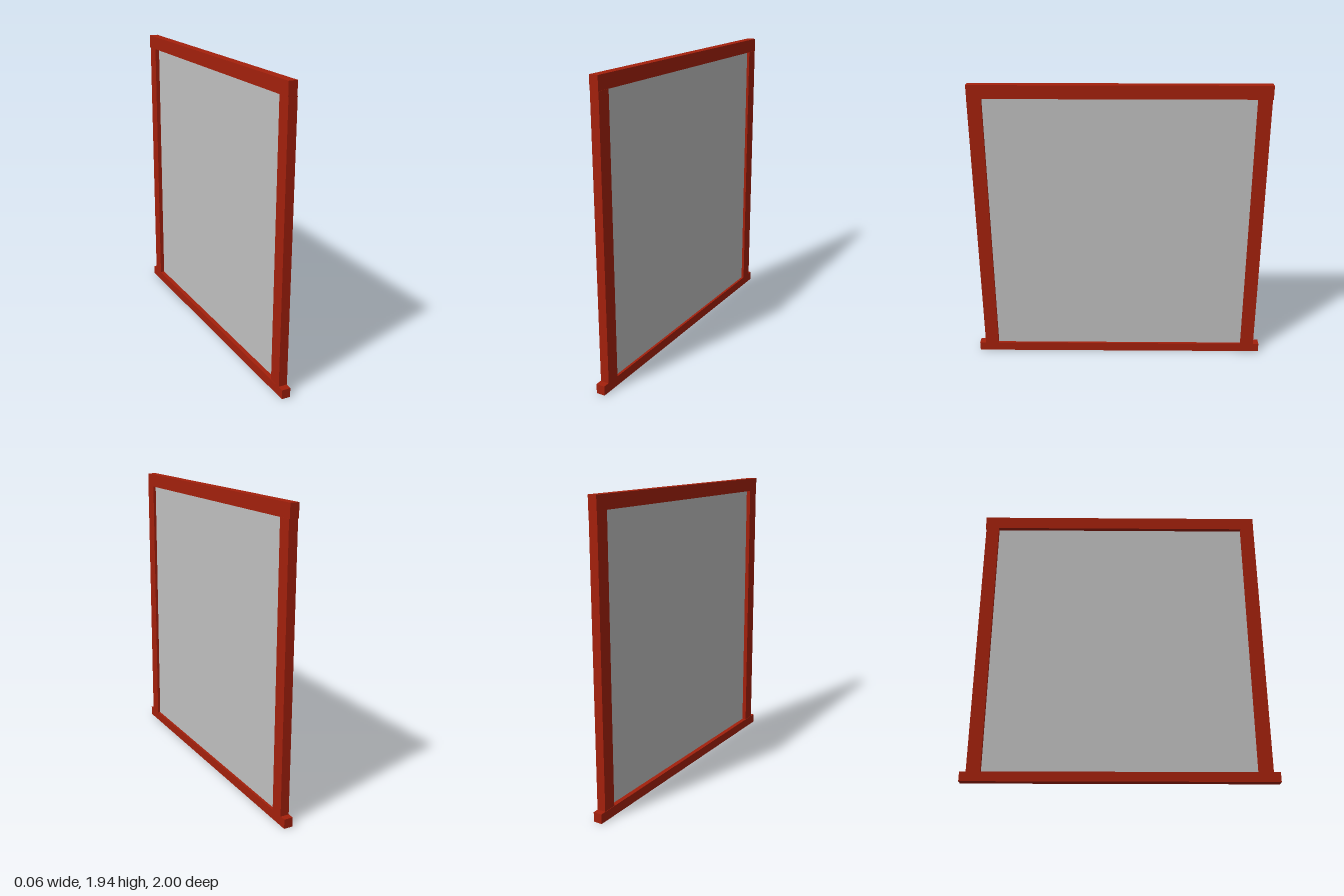
import * as THREE from 'three';

export function createModel() {
  const group = new THREE.Group();
  const red = new THREE.MeshStandardMaterial({ color: 0xa4200c });
  red.name = 'frame red';
  const grey = new THREE.MeshStandardMaterial({ color: 0xc0c0c0 });
  grey.name = 'pane grey';

  // Box given by its minimum and maximum extents on each axis
  function box(name, material, [x0, x1], [y0, y1], [z0, z1]) {
    const mesh = new THREE.Mesh(new THREE.BoxGeometry(x1 - x0, y1 - y0, z1 - z0), material);
    mesh.position.set((x0 + x1) / 2, (y0 + y1) / 2, (z0 + z1) / 2);
    mesh.name = name;
    group.add(mesh);
  }

  // Sill and top rail
  box('sill', red, [-0.03, 0.028], [0, 0.062], [-1, 1]);
  box('topRail', red, [-0.03, 0.028], [1.85, 1.938], [-0.965, 0.957]);

  // Side posts, a hair proud of the rail
  box('frontPost', red, [-0.028, 0.03], [0.062, 1.85], [0.865, 0.957]);
  box('backPost', red, [-0.028, 0.03], [0.062, 1.85], [-0.96, -0.87]);

  // Pane set into the frame, closer to the +x side
  box('pane', grey, [0.0, 0.012], [0.055, 1.856], [-0.876, 0.871]);

  return group;
}
